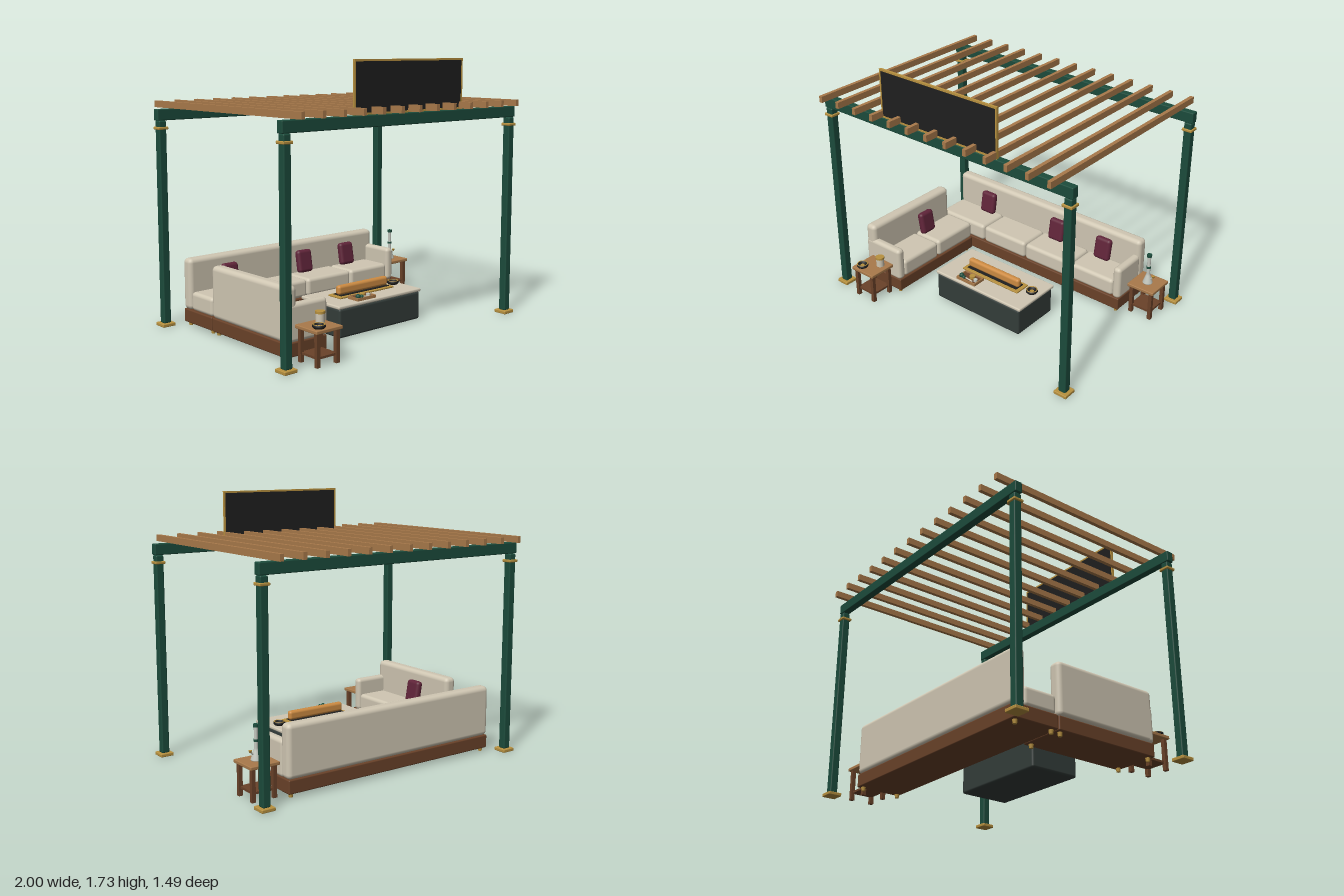
import * as THREE from 'three';
import { RoundedBoxGeometry } from 'three/addons/geometries/RoundedBoxGeometry.js';

function mat(name, color, side = THREE.FrontSide) {
  const m = new THREE.MeshStandardMaterial({ color, side });
  m.name = name;
  return m;
}

export function createModel() {
  const root = new THREE.Group();
  root.name = 'pergolaLounge';
  const green = mat('dark green', 0x1c4c3c);
  const gold = mat('brass', 0xb8913f);
  const tan = mat('light wood', 0xa97a4b);
  const brown = mat('dark wood', 0x6a4229);
  const cream = mat('cream', 0xd0c7b3, THREE.DoubleSide);
  const wine = mat('burgundy', 0x602439);
  const black = mat('black', 0x1f1f1f, THREE.DoubleSide);
  const stone = mat('slate', 0x343d3a);
  const amber = mat('amber', 0xcd8b42);
  const glass = mat('pale glass', 0xc3c7be);

  const group = (name, parent = root) => {
    const g = new THREE.Group();
    g.name = name;
    parent.add(g);
    return g;
  };
  const mesh = (parent, name, geo, material, x = 0, y = 0, z = 0) => {
    const m = new THREE.Mesh(geo, material);
    m.name = name;
    m.position.set(x, y, z);
    parent.add(m);
    return m;
  };
  // Box given by its extents; r rounds the edges
  const box = (parent, name, material, [x0, x1], [y0, y1], [z0, z1], r = 0) => {
    const w = x1 - x0, h = y1 - y0, d = z1 - z0;
    const geo = r ? new RoundedBoxGeometry(w, h, d, 3, r) : new THREE.BoxGeometry(w, h, d);
    return mesh(parent, name, geo, material, (x0 + x1) / 2, (y0 + y1) / 2, (z0 + z1) / 2);
  };
  // Upright cylinder or cone standing on y
  const cyl = (parent, name, material, x, y, z, rBottom, rTop, h) =>
    mesh(parent, name, new THREE.CylinderGeometry(rTop, rBottom, h, 20), material, x, y + h / 2, z);
  const lathe = (parent, name, material, pts, x, y, z) =>
    mesh(parent, name, new THREE.LatheGeometry(pts.map(p => new THREE.Vector2(...p)), 24), material, x, y, z);
  const around = (c, half) => [c - half, c + half];

  // Pergola: posts, beams and rafters
  const pergola = group('pergola');
  for (const z of [-0.63, 0.63]) {
    for (const x of [-0.953, 0.953]) {
      box(pergola, 'postBase', gold, around(x, 0.046), [0, 0.022], around(z, 0.046), 0.005);
      box(pergola, 'post', green, around(x, 0.026), [0.02, 1.338], around(z, 0.026), 0.008);
      box(pergola, 'postCollar', gold, around(x, 0.035), [1.282, 1.3], around(z, 0.035), 0.005);
    }
    box(pergola, 'beam', green, [-0.988, 0.985], [1.34, 1.412], around(z, 0.025), 0.006);
  }
  for (let i = 0; i < 13; i++) {
    box(pergola, 'rafter', tan, around(-0.915 + i * 0.1507, 0.0125), [1.418, 1.46], [-0.742, 0.745]);
  }

  // Plain sign board in a thin frame
  const sign = group('signBoard');
  box(sign, 'panel', black, [-0.453, 0.448], [1.424, 1.722], [0.64, 0.65]);
  for (const y of [1.42, 1.726]) box(sign, 'frameRail', gold, [-0.461, 0.456], around(y, 0.006), [0.637, 0.653]);
  for (const x of [-0.456, 0.451]) box(sign, 'frameStile', gold, around(x, 0.005), [1.414, 1.732], [0.637, 0.653]);

  // Corner sofa: long rear run
  const sofa = group('cornerSofa');
  box(sofa, 'rearPlinth', brown, [-0.852, 0.745], [0.024, 0.112], [-0.565, -0.252], 0.008);
  box(sofa, 'rearBack', cream, [-0.855, 0.75], [0.11, 0.448], [-0.567, -0.482], 0.03);
  box(sofa, 'rearArm', cream, [0.69, 0.75], [0.11, 0.342], [-0.5, -0.25], 0.025);
  for (const span of [[-0.845, -0.44], [-0.434, -0.06], [-0.054, 0.335], [0.341, 0.69]]) {
    box(sofa, 'rearSeat', cream, span, [0.11, 0.233], [-0.49, -0.255], 0.025);
  }
  // Corner sofa: short side run
  box(sofa, 'sidePlinth', brown, [-0.852, -0.542], [0.024, 0.112], [-0.245, 0.505], 0.008);
  box(sofa, 'sideBack', cream, [-0.855, -0.77], [0.11, 0.448], [-0.245, 0.508], 0.03);
  box(sofa, 'sideArm', cream, [-0.855, -0.54], [0.11, 0.342], [0.45, 0.51], 0.025);
  for (const span of [[-0.245, 0.11], [0.116, 0.452]]) {
    box(sofa, 'sideSeat', cream, [-0.775, -0.545], [0.11, 0.233], span, 0.025);
  }
  // Feet
  const feet = [];
  for (const x of [-0.82, 0.715]) for (const z of [-0.535, -0.28]) feet.push([x, z]);
  for (const x of [-0.82, -0.575]) for (const z of [-0.215, 0.475]) feet.push([x, z]);
  for (const [x, z] of feet) cyl(sofa, 'sofaFoot', gold, x, 0, z, 0.012, 0.016, 0.028);
  // Throw cushions lean on the backs
  for (const x of [-0.557, 0.077, 0.472]) {
    const c = mesh(sofa, 'throwCushion', new RoundedBoxGeometry(0.125, 0.16, 0.05, 3, 0.023), wine, x, 0.308, -0.459);
    c.rotation.x = -0.17;
  }
  const sideCushion = mesh(sofa, 'throwCushion', new RoundedBoxGeometry(0.05, 0.16, 0.125, 3, 0.023), wine, -0.722, 0.308, 0.045);
  sideCushion.rotation.z = 0.17;

  // Coffee table
  const table = group('coffeeTable');
  box(table, 'tableBody', stone, [-0.32, 0.39], [0.005, 0.192], [0.012, 0.368], 0.015);
  box(table, 'tableTop', cream, [-0.328, 0.4], [0.19, 0.213], [0, 0.37], 0.009);

  // Long tray holding a rounded bar
  const tray = group('longTray', table);
  box(tray, 'trayPlate', gold, [-0.2, 0.275], [0.212, 0.224], [0.122, 0.24], 0.004);
  box(tray, 'trayInset', black, [-0.175, 0.25], [0.222, 0.228], [0.143, 0.219]);
  box(tray, 'bar', amber, [-0.18, 0.255], [0.226, 0.288], [0.163, 0.205], 0.018);

  // Small tray with trinkets
  const small = group('smallTray', table);
  box(small, 'smallTrayPlate', brown, [-0.152, 0.002], [0.212, 0.222], [0.26, 0.352]);
  for (const z of [0.262, 0.35]) box(small, 'smallTrayLip', tan, [-0.154, 0.004], [0.212, 0.232], around(z, 0.004));
  for (const x of [-0.15, 0]) box(small, 'smallTrayLip', tan, around(x, 0.004), [0.212, 0.232], [0.26, 0.352]);
  cyl(small, 'grinder', gold, -0.065, 0.222, 0.295, 0.02, 0.02, 0.02);
  cyl(small, 'pot', glass, -0.025, 0.222, 0.31, 0.014, 0.014, 0.015);
  mesh(small, 'greenBud', new THREE.SphereGeometry(0.017, 14, 10), green, -0.13, 0.236, 0.328);
  mesh(small, 'greenBud', new THREE.SphereGeometry(0.013, 14, 10), green, -0.105, 0.234, 0.335);
  const stick = mesh(small, 'stick', new THREE.CylinderGeometry(0.005, 0.005, 0.07, 10), cream, -0.07, 0.229, 0.33);
  stick.rotation.z = Math.PI / 2 - 0.1;

  // Shallow bowls with a brass rim
  const bowlProfile = [[0, 0], [0.03, 0], [0.04, 0.012], [0.038, 0.025], [0.03, 0.025], [0.024, 0.01], [0, 0.01]];
  const bowl = (name, x, y, z) => {
    const g = group(name);
    lathe(g, 'bowlBody', black, bowlProfile, x, y, z);
    const rim = mesh(g, 'bowlRim', new THREE.TorusGeometry(0.034, 0.004, 8, 24), gold, x, y + 0.024, z);
    rim.rotation.x = Math.PI / 2;
    cyl(g, 'bowlCentre', gold, x, y + 0.009, z, 0.014, 0.014, 0.006);
  };
  bowl('tableBowl', 0.34, 0.212, 0.165);
  bowl('sideBowl', -0.74, 0.22, 0.662);

  // Side tables
  const sideTable = (name, cx, cz) => {
    const g = group(name);
    box(g, 'sideTableTop', tan, around(cx, 0.099), [0.2, 0.222], around(cz, 0.099), 0.005);
    for (const sx of [-1, 1]) {
      for (const sz of [-1, 1]) {
        box(g, 'sideTableLeg', brown, around(cx + sx * 0.073, 0.0125), [0, 0.202], around(cz + sz * 0.073, 0.0125));
      }
    }
    box(g, 'sideTableShelf', brown, around(cx, 0.075), [0.046, 0.06], around(cz, 0.075));
  };
  sideTable('rightSideTable', 0.87, -0.412);
  sideTable('leftSideTable', -0.697, 0.61);

  // Lidded jar
  const jar = group('jar');
  cyl(jar, 'jarBody', cream, -0.657, 0.221, 0.575, 0.027, 0.027, 0.057);
  cyl(jar, 'jarLid', gold, -0.657, 0.277, 0.575, 0.03, 0.03, 0.014);

  // Tall glass vessel
  const vessel = group('tallVessel');
  const vx = 0.87, vz = -0.408;
  lathe(vessel, 'flask', glass, [[0, 0], [0.032, 0], [0.034, 0.006], [0.016, 0.06], [0.012, 0.075], [0.012, 0.205]], vx, 0.221, vz);
  cyl(vessel, 'neckBand', green, vx, 0.335, vz, 0.0145, 0.0145, 0.014);
  cyl(vessel, 'mouth', green, vx, 0.422, vz, 0.017, 0.017, 0.018);
  const stem = mesh(vessel, 'sideStem', new THREE.CylinderGeometry(0.005, 0.005, 0.05, 10), glass, vx + 0.024, 0.262, vz);
  stem.rotation.z = -0.8;
  cyl(vessel, 'stemCup', gold, vx + 0.04, 0.273, vz, 0.006, 0.011, 0.014);

  return root;
}
